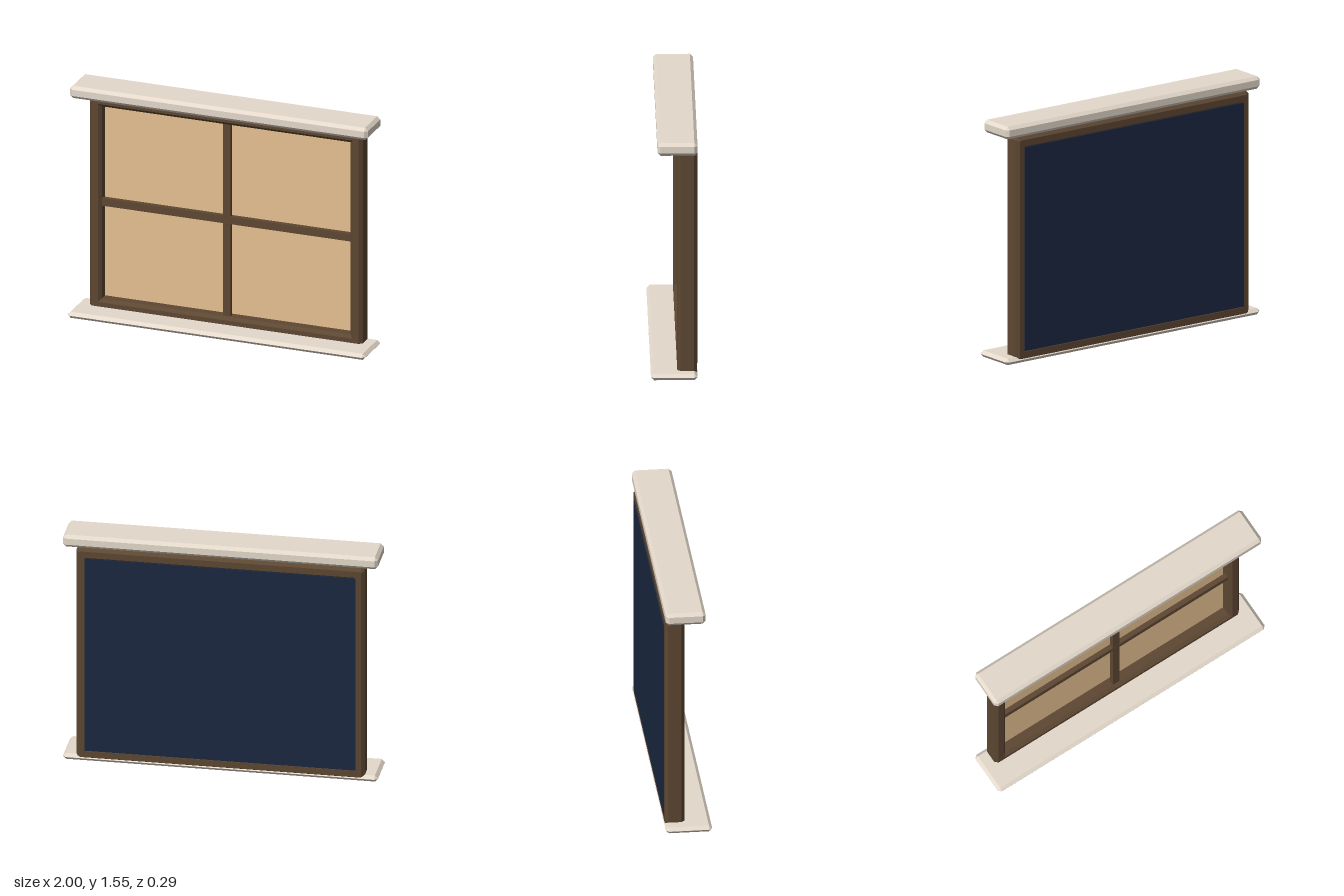
import * as THREE from 'three';
import { ConvexGeometry } from 'three/addons/geometries/ConvexGeometry.js';

const stone = new THREE.MeshStandardMaterial({ name: 'stone', color: 0xe4d9cb });
const wood = new THREE.MeshStandardMaterial({ name: 'dark wood', color: 0x5d4732 });
const blind = new THREE.MeshStandardMaterial({ name: 'tan pane', color: 0xe6c092 });
const glass = new THREE.MeshStandardMaterial({ name: 'navy glass', color: 0x1b2741 });

const BEVEL = 0.02;

// Box with every edge chamfered, centred on the origin
function chamferBox(w, h, d, b) {
  const points = [];
  for (const sx of [-1, 1]) for (const sy of [-1, 1]) for (const sz of [-1, 1]) {
    const x = w / 2, y = h / 2, z = d / 2;
    points.push(
      new THREE.Vector3(sx * x, sy * (y - b), sz * (z - b)),
      new THREE.Vector3(sx * (x - b), sy * y, sz * (z - b)),
      new THREE.Vector3(sx * (x - b), sy * (y - b), sz * z));
  }
  return new ConvexGeometry(points);
}

// Rectangle outline with slightly cut corners
function cutRectangle(path, x, y, c) {
  path.moveTo(x - c, -y);
  path.lineTo(x, c - y);
  path.lineTo(x, y - c);
  path.lineTo(x - c, y);
  path.lineTo(c - x, y);
  path.lineTo(-x, y - c);
  path.lineTo(-x, c - y);
  path.lineTo(c - x, -y);
  path.closePath();
  return path;
}

export function createModel() {
  const group = new THREE.Group();
  group.name = 'window';

  const add = (name, geometry, material, y, z) => {
    const mesh = new THREE.Mesh(geometry, material);
    mesh.name = name;
    mesh.position.set(0, y, z);
    group.add(mesh);
  };

  // Stone lintel and sill
  add('lintel', chamferBox(2, 0.082, 0.251, BEVEL), stone, 1.505, -0.0205);
  add('sill', chamferBox(2, 0.041, 0.292, BEVEL), stone, 0.0205, 0);

  // Bevelled frame with one large opening
  const midY = 0.736;
  const outline = cutRectangle(new THREE.Shape(), 0.896, 0.7075, 0.008);
  const hole = new THREE.Path();
  hole.moveTo(-0.855, -0.666);
  hole.lineTo(-0.855, 0.666);
  hole.lineTo(0.855, 0.666);
  hole.lineTo(0.855, -0.666);
  hole.closePath();
  outline.holes.push(hole);
  const frame = new THREE.ExtrudeGeometry(outline, {
    depth: 0.083, bevelEnabled: true, bevelThickness: BEVEL, bevelSize: BEVEL, bevelSegments: 1,
  });
  add('frame', frame, wood, midY, -0.123);

  // Tan pane set deep in the opening, dark glass standing just proud of the back
  add('frontPane', new THREE.BoxGeometry(1.672, 1.294, 0.024), blind, midY, -0.108);
  add('backPane', new THREE.BoxGeometry(1.722, 1.322, 0.028), glass, midY, -0.134);

  // Glazing bars standing clear of the pane
  add('verticalBar', new THREE.BoxGeometry(0.05, 1.294, 0.031), wood, midY, -0.0595);
  add('horizontalBar', new THREE.BoxGeometry(1.67, 0.05, 0.032), wood, 0.7375, -0.059);

  return group;
}
